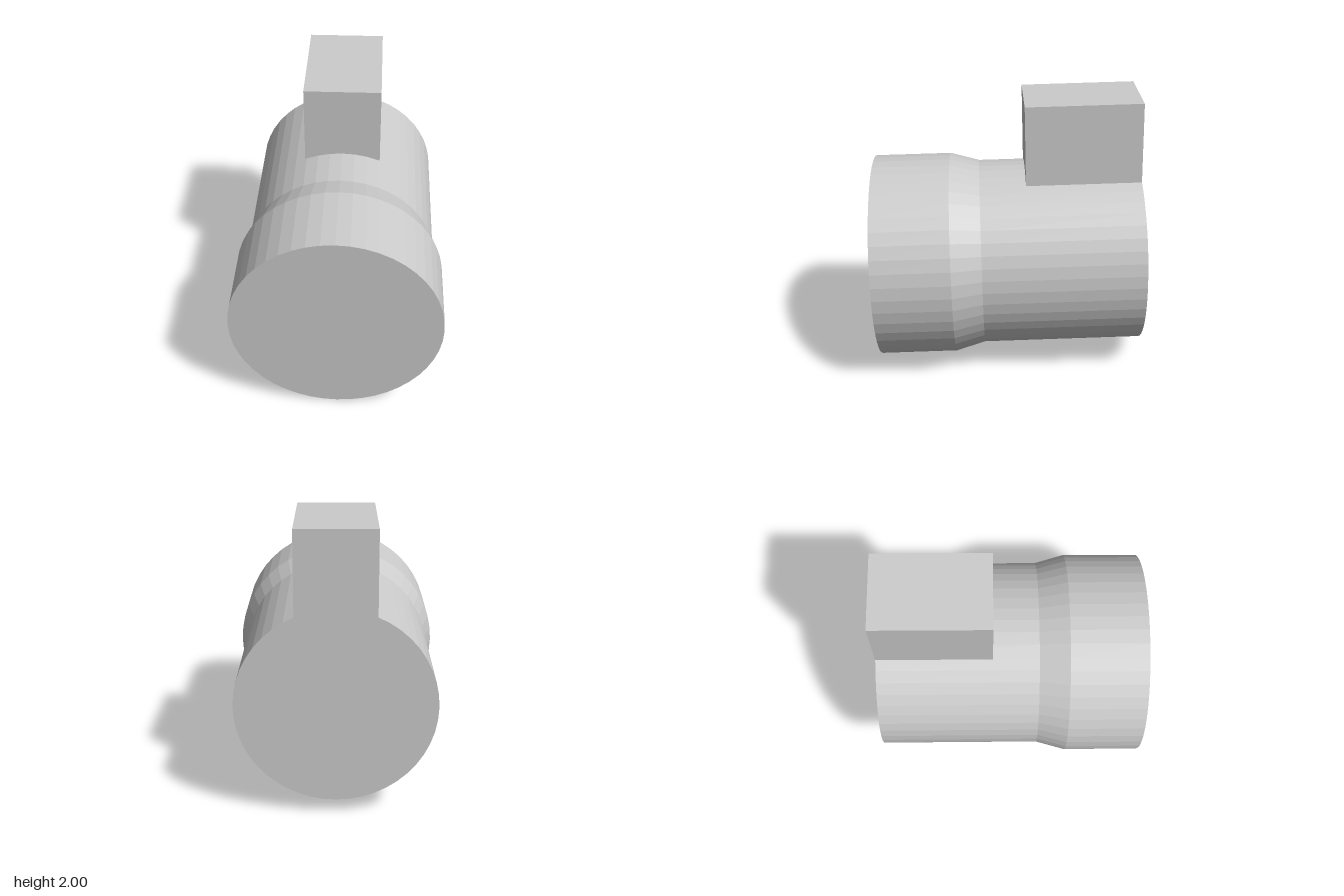
import * as THREE from 'three';

const LENGTH = 1.917; // along the barrel axis
const BACK_R = 0.685;
const FRONT_R = 0.745;
const TILT = 0.0243; // back end rises slightly

export function createModel() {
  const material = new THREE.MeshStandardMaterial({ color: 0xcccccc, flatShading: true });
  const model = new THREE.Group();
  model.name = 'model';

  // Everything is built along z from the centre of the front face, then tilted
  const body = new THREE.Group();
  body.name = 'body';
  body.position.set(0, 0.748, 0.9625);
  body.rotation.x = TILT;
  model.add(body);

  // Stepped barrel: closed back end, narrow tube, flare, wide front end
  const profile = [
    [0, -LENGTH],
    [BACK_R, -LENGTH],
    [BACK_R, -0.768],
    [FRONT_R, -0.555],
    [FRONT_R, 0],
    [0, 0],
  ].map(([r, z]) => new THREE.Vector2(r, z));
  const barrelGeometry = new THREE.LatheGeometry(profile, 48);
  barrelGeometry.rotateX(Math.PI / 2);
  const barrel = new THREE.Mesh(barrelGeometry, material);
  barrel.name = 'barrel';
  body.add(barrel);

  // Block on top, flush with the back face and sunk just into the barrel
  const bottom = 0.61, top = 1.206, front = -1.097;
  const block = new THREE.Mesh(
    new THREE.BoxGeometry(0.546, top - bottom, front + LENGTH),
    material
  );
  block.name = 'topBlock';
  block.position.set(0, (top + bottom) / 2, (front - LENGTH) / 2);
  body.add(block);

  return model;
}
